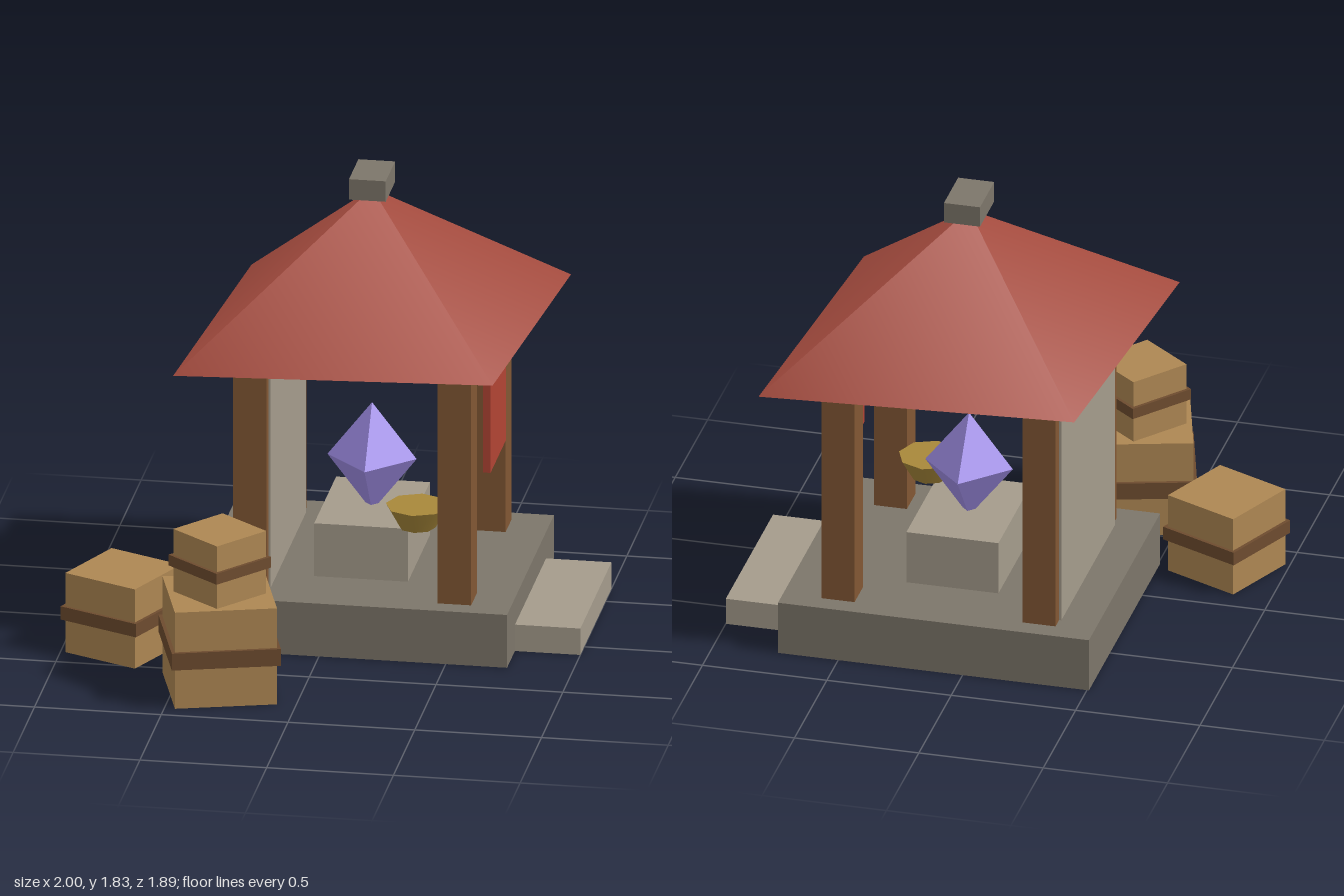
import * as THREE from 'three';

const CX = 0.117, CZ = -0.275; // centre of the shrine

const mat = (color, flatShading = false) => new THREE.MeshStandardMaterial({ color, flatShading });
const darkStone = mat(0x7d766a);
const paleStone = mat(0xa59c8c);
const timber = mat(0x825734);
const crateWood = mat(0xae8753);
const strapWood = mat(0x6e4c2f);
const roofTile = mat(0xa64c3f);
const cloth = mat(0xb24434);
const gold = mat(0xa8883a);
const gem = mat(0xa491ec, true);

function add(parent, name, geometry, material, x, y, z) {
  const mesh = new THREE.Mesh(geometry, material);
  mesh.name = name;
  mesh.position.set(x, y, z);
  parent.add(mesh);
  return mesh;
}

// Box given by its centre in plan and its bottom height
function box(parent, name, material, w, h, d, x, bottom, z) {
  return add(parent, name, new THREE.BoxGeometry(w, h, d), material, x, bottom + h / 2, z);
}

// Cubic crate with a slightly wider strap around its middle
function crate(parent, name, size, height, strap, strapHeight, x, bottom, z, turn) {
  const group = new THREE.Group();
  group.name = name;
  group.position.set(x, bottom, z);
  group.rotation.y = turn;
  box(group, 'crateBody', crateWood, size, height, size, 0, 0, 0);
  box(group, 'crateStrap', strapWood, strap, strapHeight, strap, 0, (height - strapHeight) / 2, 0);
  parent.add(group);
}

export function createModel() {
  const model = new THREE.Group();
  model.name = 'shrine';

  // Platform and side step
  box(model, 'platform', darkStone, 1.25, 0.22, 1.1, CX, 0, CZ);
  box(model, 'step', paleStone, 0.32, 0.11, 0.73, 0.84, 0, CZ);

  // Four posts
  for (const sx of [-1, 1]) {
    for (const sz of [-1, 1]) {
      box(model, 'post', timber, 0.132, 0.96, 0.132, CX + sx * 0.404, 0.22, CZ + sz * 0.404);
    }
  }

  // Wall on one side, banner on the other
  box(model, 'sideWall', paleStone, 0.148, 0.88, 0.83, CX - 0.405, 0.22, CZ);
  box(model, 'banner', cloth, 0.03, 0.44, 0.366, 0.6, 0.665, CZ);

  // Four-sided roof, longer along one diagonal, with a capstone
  const roof = add(model, 'roof', new THREE.ConeGeometry(1, 0.57, 4), roofTile, CX, 1.465, CZ);
  roof.scale.set(0.95, 1, 0.808);
  roof.rotation.y = Math.PI / 4;
  box(model, 'capstone', darkStone, 0.145, 0.085, 0.22, CX, 1.74, CZ);

  // Altar with crystal and offering bowl
  box(model, 'altar', paleStone, 0.37, 0.22, 0.515, CX, 0.22, CZ);
  const crystal = add(model, 'crystal', new THREE.OctahedronGeometry(1), gem, CX, 0.633, CZ);
  crystal.scale.set(0.176, 0.226, 0.176);
  add(model, 'offeringBowl', new THREE.CylinderGeometry(0.124, 0.072, 0.09, 8), gold, 0.333, 0.485, -0.05);

  // Stacked and single crates
  crate(model, 'largeCrate', 0.4, 0.4, 0.428, 0.07, -0.323, 0, 0.68, 0.288);
  crate(model, 'smallCrate', 0.256, 0.26, 0.282, 0.045, -0.323, 0.4, 0.68, -0.68);
  crate(model, 'singleCrate', 0.325, 0.33, 0.352, 0.055, -0.766, 0, 0.31, -0.42);

  return model;
}
